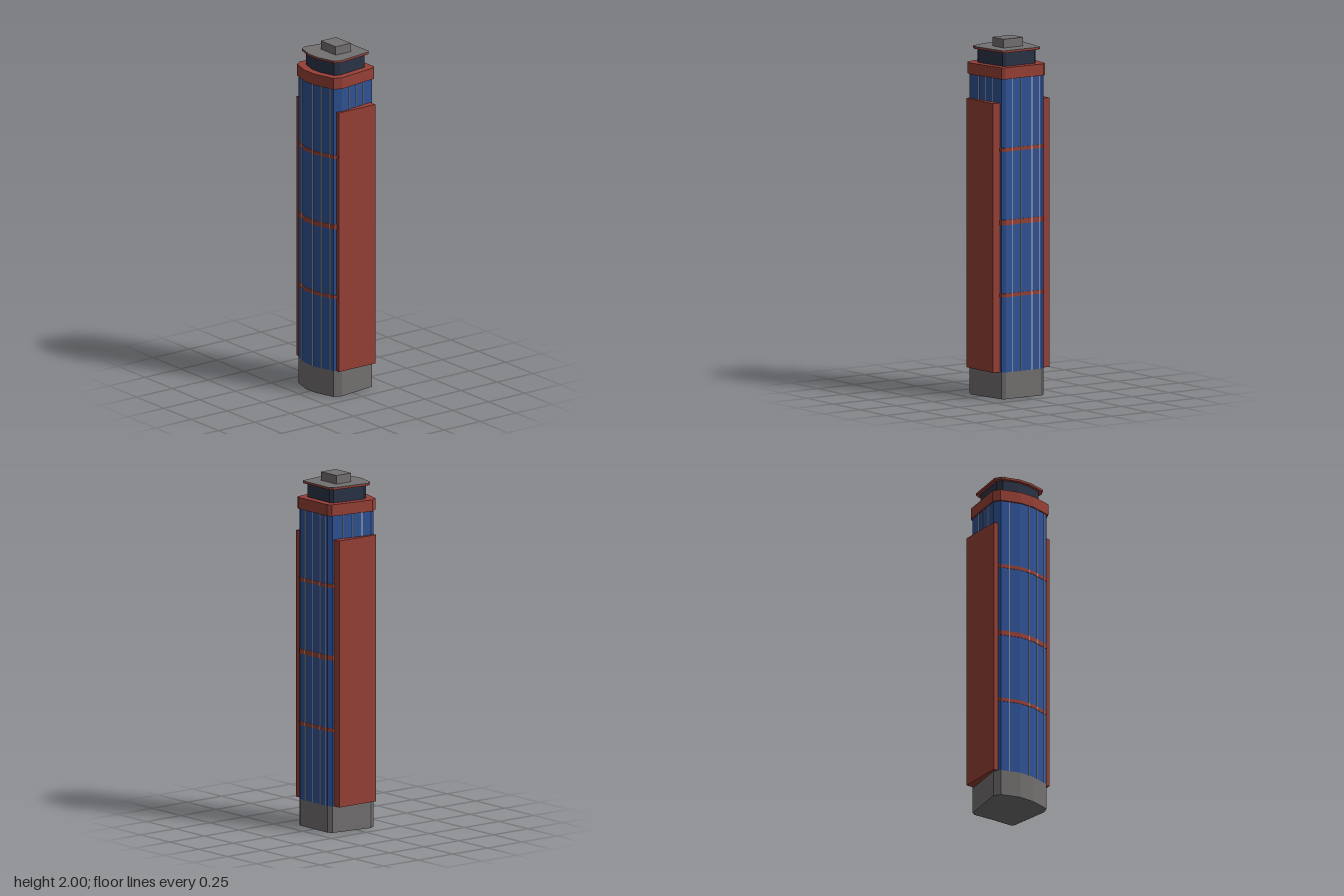
import * as THREE from 'three';

const material = (name, color) => {
  const m = new THREE.MeshStandardMaterial({ color });
  m.name = name;
  return m;
};

// Tower footprint as [x, z], running from the back round the +x side to the front
const FOOTPRINT = [
  [-0.125, -0.177], [0, -0.172], [0.13, -0.173], [0.15, -0.16],
  [0.187, 0.09], [0.168, 0.135], [0.045, 0.171], [-0.045, 0.174],
  [-0.16, 0.141], [-0.187, 0.10], [-0.148, -0.16],
];
const scaled = (sx, sz = sx) => FOOTPRINT.map(([x, z]) => [x * sx, z * sz]);

export function createModel() {
  const stone = material('grey stone', 0x737070);
  const brick = material('red brick', 0x964036);
  const glass = material('blue glass', 0x2f5296);
  const darkGlass = material('dark glass', 0x2a3346);
  const metal = material('pale metal', 0xc6c3bc);

  const tower = new THREE.Group();
  tower.name = 'tower';

  const add = (name, geometry, mat, parent = tower) => {
    const mesh = new THREE.Mesh(geometry, mat);
    mesh.name = name;
    parent.add(mesh);
    return mesh;
  };

  // Vertical prism over an outline
  const slab = (name, outline, y0, y1, mat) => {
    const shape = new THREE.Shape(outline.map(([x, z]) => new THREE.Vector2(x, -z)));
    const geo = new THREE.ExtrudeGeometry(shape, { depth: y1 - y0, bevelEnabled: false });
    geo.rotateX(-Math.PI / 2).translate(0, y0, 0);
    return add(name, geo, mat);
  };

  // Box from its limits
  const block = (name, x0, x1, y0, y1, z0, z1, mat) => {
    const geo = new THREE.BoxGeometry(x1 - x0, y1 - y0, z1 - z0);
    geo.translate((x0 + x1) / 2, (y0 + y1) / 2, (z0 + z1) / 2);
    return add(name, geo, mat);
  };

  // Base, glazed shaft and floor bands
  const wall = scaled(0.95, 0.955);
  slab('base', wall, 0, 0.15, stone);
  slab('shaft', wall, 0.15, 1.8, glass);
  for (const [y, h] of [[0.582, 0.02], [0.99, 0.028], [1.398, 0.02]]) {
    slab('floorBand', scaled(0.962, 0.967), y - h / 2, y + h / 2, brick);
  }

  // Mullions: for each wall edge, the fractions along it
  const mullions = new THREE.Group();
  mullions.name = 'mullions';
  tower.add(mullions);
  const spacing = {
    0: [0.12, 0.56], 1: [0.14, 0.65],
    3: [0.29, 0.52, 0.76], 9: [0.24, 0.48, 0.71],
    5: [0.2, 0.7], 6: [0.32], 7: [0.59],
  };
  for (const [edge, fractions] of Object.entries(spacing)) {
    const a = wall[+edge];
    const b = wall[(+edge + 1) % wall.length];
    for (const t of fractions) {
      const bar = add('mullion', new THREE.BoxGeometry(0.004, 1.65, 0.006), metal, mullions);
      bar.position.set(a[0] + (b[0] - a[0]) * t, 0.975, a[1] + (b[1] - a[1]) * t);
      bar.rotation.y = -Math.atan2(b[1] - a[1], b[0] - a[0]);
    }
  }

  // Solid side walls
  block('leftSideWall', 0.13, 0.19, 0.15, 1.66, -0.138, 0.114, brick);
  block('rightSideWall', -0.19, -0.13, 0.15, 1.66, -0.141, 0.12, brick);

  // Cornice, recessed crown and roof
  slab('cornice', FOOTPRINT, 1.795, 1.86, brick);
  slab('crown', scaled(0.755), 1.86, 1.94, darkGlass);
  const roof = scaled(0.865, 0.858);
  slab('roofEdge', roof, 1.938, 1.948, brick);
  slab('roofDeck', roof, 1.948, 1.951, stone);
  block('plantRoom', -0.068, 0.066, 1.951, 2, -0.062, 0.044, stone);

  return tower;
}
